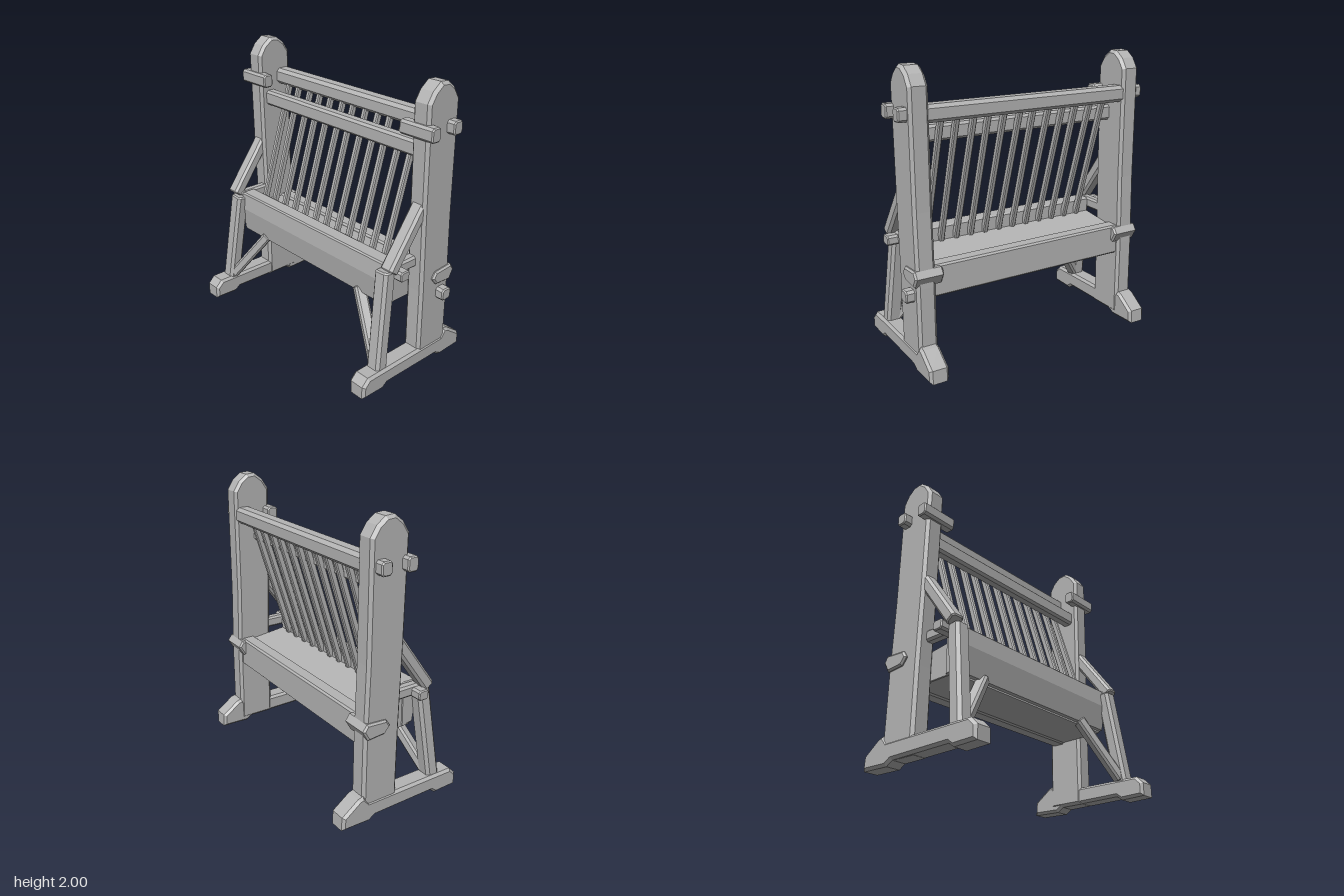
import * as THREE from 'three';

const wood = new THREE.MeshStandardMaterial({ color: 0xb4b4b4, flatShading: true });
wood.name = 'grey wood';

const V = (x, y, z) => new THREE.Vector3(x, y, z);

// Flat outline in x/y, extruded along z from z0 to z1 with worn edges
function slab(name, pts, z0, z1, bevel = 0.015) {
  const shape = new THREE.Shape(pts.map(p => new THREE.Vector2(p[0], p[1])));
  const geo = new THREE.ExtrudeGeometry(shape, {
    depth: z1 - z0 - 2 * bevel, bevelEnabled: true, bevelSegments: 1,
    bevelSize: bevel, bevelThickness: bevel, bevelOffset: -bevel,
  });
  geo.translate(0, 0, z0 + bevel);
  const mesh = new THREE.Mesh(geo, wood);
  mesh.name = name;
  return mesh;
}

// Chamfered beam from a to b; w lies across 'up', h along it
function beam(name, a, b, w, h, up = V(0, 1, 0), worn = 0.2) {
  const c = Math.min(w, h) * worn, x = w / 2, y = h / 2;
  const outline = [
    [-x + c, -y], [x - c, -y], [x, -y + c], [x, y - c],
    [x - c, y], [-x + c, y], [-x, y - c], [-x, -y + c],
  ];
  const mesh = slab(name, outline, 0, a.distanceTo(b), c * 0.5);
  mesh.position.copy(a);
  mesh.up.copy(up);
  mesh.lookAt(b);
  return mesh;
}

export function createModel() {
  const g = new THREE.Group();
  g.name = 'hayRack';
  const sideways = V(0, 0, 1);

  // End frames, mirrored front and back
  for (const s of [1, -1]) {
    const frame = new THREE.Group();
    frame.name = s > 0 ? 'frontFrame' : 'backFrame';
    const span = (lo, hi) => (s > 0 ? [lo, hi] : [-hi, -lo]);

    // Upright with a rounded head
    frame.add(slab('post', [
      [0.045, 0.03], [0.32, 0.03], [0.315, 0.6], [0.3, 1.1], [0.295, 1.88],
      [0.25, 1.95], [0.19, 1.995], [0.125, 2], [0.06, 1.95], [0.015, 1.88],
      [0.025, 1.2], [0.04, 0.6],
    ], ...span(0.75, 0.885), 0.02));

    // Sill with thickened feet
    frame.add(slab('foot', [
      [-0.48, 0.01], [-0.3, 0.005], [-0.26, 0.035], [0.22, 0.03], [0.27, 0],
      [0.48, 0.005], [0.475, 0.1], [0.35, 0.19], [0.31, 0.2], [0.27, 0.15],
      [-0.43, 0.15], [-0.48, 0.1],
    ], ...span(0.755, 0.892), 0.018));

    // Slanted leg, inner brace and arm
    frame.add(beam('leg', V(-0.295, 0.1, s * 0.82), V(-0.2, 0.82, s * 0.78), 0.1, 0.11, sideways));
    frame.add(beam('brace', V(-0.28, 0.16, s * 0.79), V(-0.15, 0.56, s * 0.5), 0.08, 0.07));
    frame.add(beam('arm', V(-0.215, 0.83, s * 0.82), V(0.07, 1.22, s * 0.82), 0.085, 0.1, sideways));
    frame.add(beam('armPeg', V(-0.14, 0.8, s * 0.7), V(-0.14, 0.8, s * 0.9), 0.08, 0.07));
    frame.add(beam('crossBar', V(-0.19, 0.81, s * 0.79), V(0.06, 0.81, s * 0.79), 0.07, 0.08));

    // Rail pegs and the worn collar around the post
    frame.add(beam('rearPeg', V(0.03, 1.705, s * 0.67), V(0.03, 1.705, s * 0.94), 0.08, 0.095));
    frame.add(beam('railPeg', V(0.225, 1.71, s * 0.7), V(0.225, 1.71, s * 0.945), 0.08, 0.09));
    frame.add(slab('collar', [
      [0.13, 0.67], [0.17, 0.62], [0.3, 0.61], [0.34, 0.68], [0.31, 0.725], [0.16, 0.715],
    ], ...span(0.7, 0.905), 0.012));
    g.add(frame);
  }
  g.add(beam('lowerPeg', V(0.23, 0.54, 0.8), V(0.23, 0.54, 0.945), 0.085, 0.085));

  // Upper rails
  g.add(beam('frontRail', V(0.23, 1.705, -0.77), V(0.23, 1.705, 0.77), 0.115, 0.115));
  g.add(beam('rearRail', V(0.11, 1.555, -0.77), V(0.11, 1.555, 0.77), 0.085, 0.11));

  // Trough
  g.add(beam('troughFrontBoard', V(0.235, 0.62, -0.77), V(0.235, 0.62, 0.77), 0.105, 0.22, V(0, 1, 0), 0.12));
  g.add(slab('troughBackBoard', [
    [-0.19, 0.84], [-0.2, 0.72], [-0.175, 0.54], [-0.08, 0.53], [-0.075, 0.84], [-0.09, 0.85], [-0.18, 0.85],
  ], -0.76, 0.76, 0.008));
  g.add(slab('troughBed', [
    [-0.15, 0.525], [0.24, 0.52], [0.24, 0.7], [0.18, 0.715], [-0.1, 0.75],
  ], -0.755, 0.755, 0.005));

  // Sloping slats
  const count = 12;
  for (let i = 0; i < count; i++) {
    const z = 0.635 - i * 0.1158;
    const drift = 0.006 * Math.sin(i * 2.3);
    g.add(beam('slat', V(-0.075, 0.75, z), V(0.205, 1.66, z + drift), 0.045, 0.037, sideways));
  }
  return g;
}
